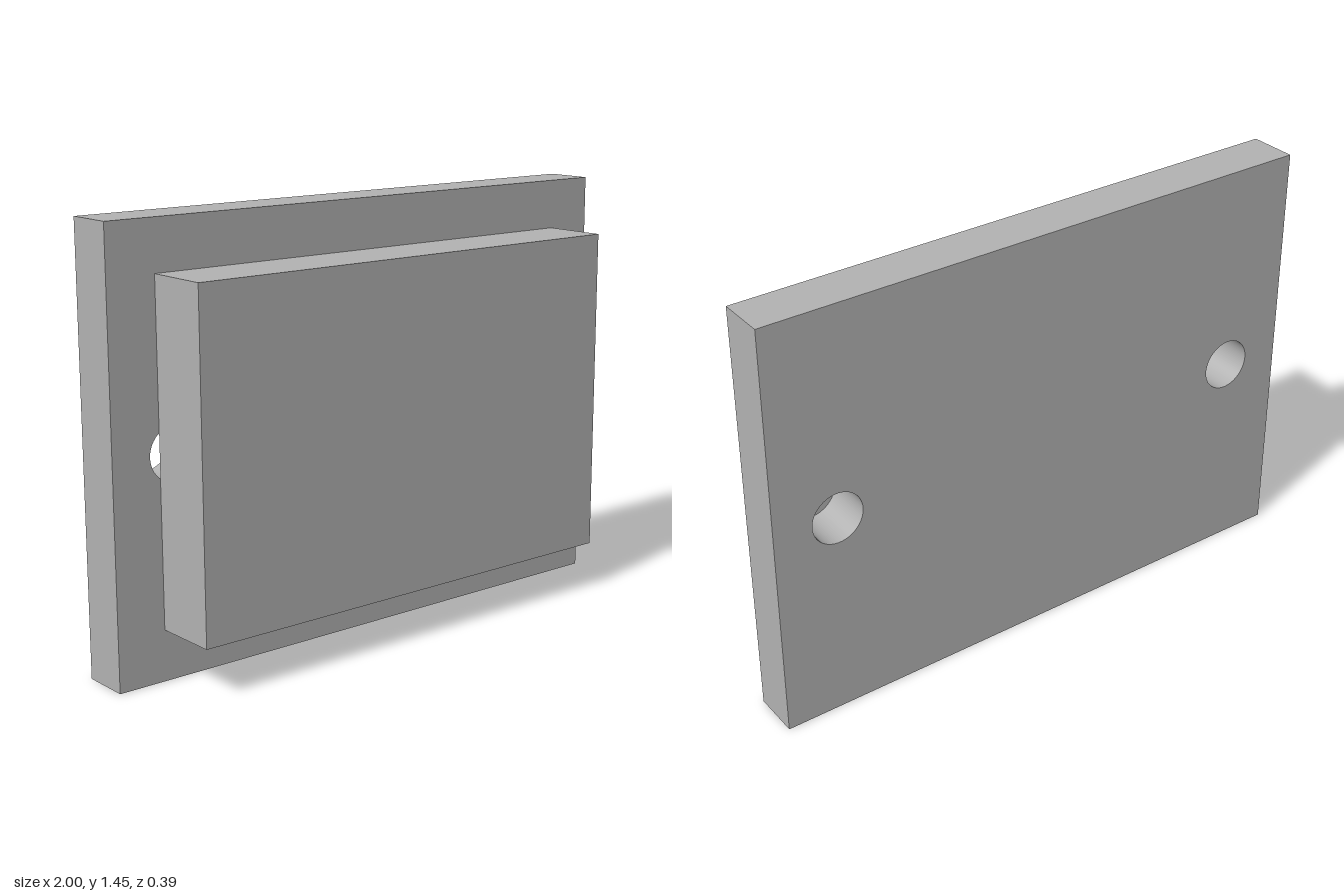
import * as THREE from 'three';

const WIDTH = 2, HEIGHT = 1.445, BACK = -0.195, STEP = -0.03, FRONT = 0.195;
const MID = HEIGHT / 2;

export function createModel() {
  const group = new THREE.Group();
  group.name = 'steppedPlate';
  const grey = new THREE.MeshStandardMaterial({ color: 0xb2b2b2 });
  grey.name = 'grey';

  // Back plate with a round hole near each side
  const outline = new THREE.Shape([
    new THREE.Vector2(-WIDTH / 2, 0),
    new THREE.Vector2(WIDTH / 2, 0),
    new THREE.Vector2(WIDTH / 2, HEIGHT),
    new THREE.Vector2(-WIDTH / 2, HEIGHT),
  ]);
  for (const side of [-1, 1]) {
    outline.holes.push(new THREE.Path().absarc(side * 0.778, MID, 0.089, 0, Math.PI * 2, true));
  }
  const plate = new THREE.Mesh(
    new THREE.ExtrudeGeometry(outline, { depth: STEP - BACK, bevelEnabled: false, curveSegments: 48 }),
    grey
  );
  plate.name = 'backPlate';
  plate.position.z = BACK;

  // Raised block on the front, partly covering the holes
  const block = new THREE.Mesh(new THREE.BoxGeometry(1.664, 1.11, FRONT - STEP), grey);
  block.name = 'frontBlock';
  block.position.set(0, MID, (FRONT + STEP) / 2);

  group.add(plate, block);
  return group;
}
